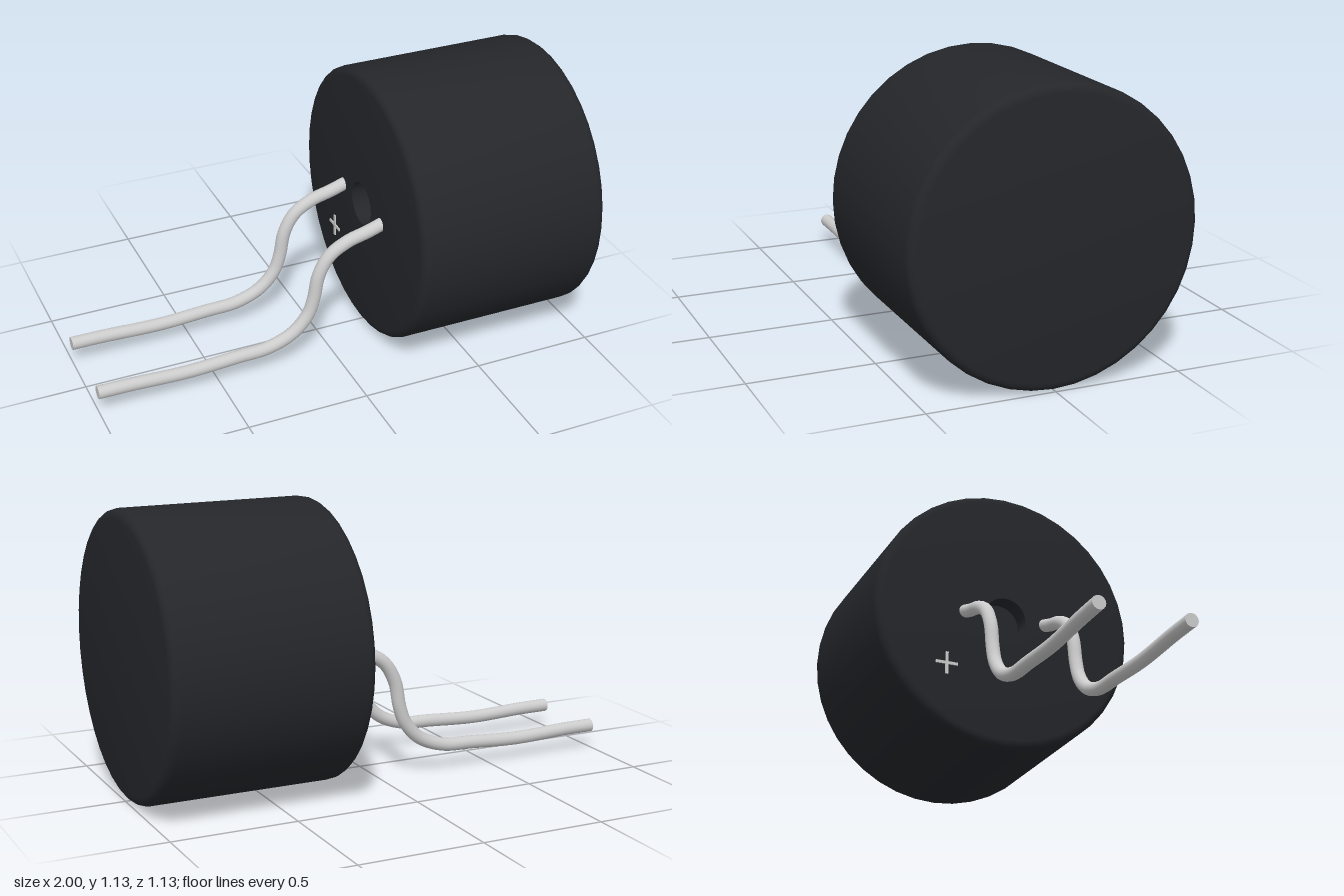
import * as THREE from 'three';
import { toCreasedNormals } from 'three/addons/utils/BufferGeometryUtils.js';

const R = 0.563, BACK = 0.2, FRONT = 1, FILLET = 0.035;
const HOLE_R = 0.09, HOLE_DEPTH = 0.08;

const dark = new THREE.MeshStandardMaterial({ color: 0x24262a });
const grey = new THREE.MeshStandardMaterial({ color: 0xcccccc });

function add(parent, name, geometry, material) {
  const mesh = new THREE.Mesh(geometry, material);
  mesh.name = name;
  parent.add(mesh);
  return mesh;
}

// Quarter-round corner of the housing profile
function fillet(cy, from) {
  return Array.from({ length: 5 }, (_, i) => {
    const a = from + (i / 4) * (Math.PI / 2);
    return new THREE.Vector2(R - FILLET + FILLET * Math.cos(a), cy + FILLET * Math.sin(a));
  });
}

export function createModel() {
  const model = new THREE.Group();
  model.name = 'buzzer';

  // Round housing with a blind hole in its back face
  const profile = [
    new THREE.Vector2(0, BACK + HOLE_DEPTH),
    new THREE.Vector2(HOLE_R, BACK + HOLE_DEPTH),
    new THREE.Vector2(HOLE_R, BACK),
    ...fillet(BACK + FILLET, -Math.PI / 2),
    ...fillet(FRONT - FILLET, 0),
    new THREE.Vector2(0, FRONT),
  ];
  const housing = add(model, 'housing', toCreasedNormals(new THREE.LatheGeometry(profile, 40), 0.6), dark);
  housing.rotation.z = -Math.PI / 2;
  housing.position.y = R;

  // Two bent wire leads
  const path = [
    [0.24, 0.577], [0.2, 0.563], [0.14, 0.543], [0.06, 0.521], [-0.02, 0.473], [-0.067, 0.393],
    [-0.088, 0.29], [-0.115, 0.217], [-0.18, 0.147], [-0.286, 0.105], [-0.42, 0.097],
    [-0.63, 0.086], [-0.87, 0.094], [-1, 0.095],
  ];
  const curve = new THREE.CatmullRomCurve3(path.map(([x, y]) => new THREE.Vector3(x, y, 0)));
  const wire = new THREE.TubeGeometry(curve, 64, 0.027, 16);
  const cap = new THREE.CircleGeometry(0.027, 16);
  for (const side of [-1, 1]) {
    const lead = new THREE.Group();
    lead.name = side < 0 ? 'backLead' : 'frontLead';
    lead.position.z = side * 0.178;
    add(lead, 'wire', wire, grey);
    const end = add(lead, 'wireEnd', cap, grey);
    end.position.set(-1, 0.095, 0);
    end.rotation.y = -Math.PI / 2;
    model.add(lead);
  }

  // Raised polarity cross beside the back lead
  const cross = new THREE.Group();
  cross.name = 'polarityMark';
  cross.position.set(BACK, 0.322, -0.255);
  add(cross, 'uprightBar', new THREE.BoxGeometry(0.01, 0.095, 0.012), grey);
  add(cross, 'crossBar', new THREE.BoxGeometry(0.01, 0.012, 0.095), grey);
  model.add(cross);

  return model;
}
